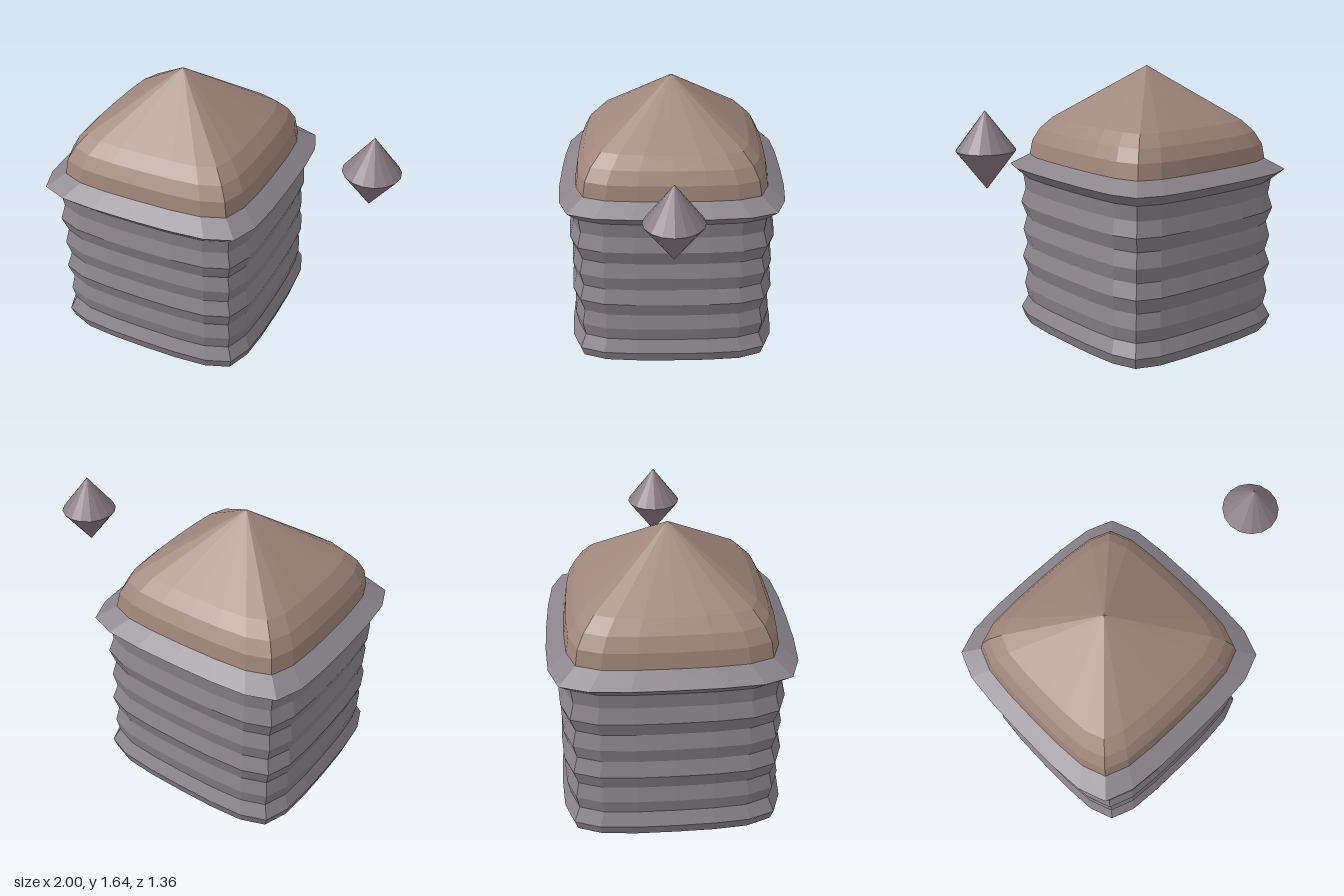
import * as THREE from 'three';

// One quarter of the rounded-square plan, for a half-width of 1
const QUARTER = [[0, 1], [0.35, 0.995], [0.66, 0.97], [0.885, 0.885], [0.97, 0.66], [0.995, 0.35]];
const SIDES = QUARTER.length * 4;

// Corner i of the plan, turning from +z towards +x
function planPoint(i) {
  let [x, z] = QUARTER[i % QUARTER.length];
  const turns = Math.floor((i % SIDES) / QUARTER.length);
  for (let t = 0; t < turns; t++) [x, z] = [z, -x];
  return [x, z];
}

// Lathe whose round plan is pushed out to the rounded square
function squareLathe(profile) {
  const geo = new THREE.LatheGeometry(profile.map(([r, y]) => new THREE.Vector2(r, y)), SIDES);
  const pos = geo.attributes.position;
  for (let i = 0; i <= SIDES; i++) {
    const [x, z] = planPoint(i);
    profile.forEach(([r, y], j) => pos.setXYZ(i * profile.length + j, x * r, y, z * r));
  }
  geo.computeVertexNormals();
  return geo;
}

function part(name, geometry, color) {
  const material = new THREE.MeshStandardMaterial({ color, flatShading: true, side: THREE.DoubleSide });
  const mesh = new THREE.Mesh(geometry, material);
  mesh.name = name;
  return mesh;
}

export function createModel() {
  const model = new THREE.Group();
  model.name = 'ridgedHut';

  const hut = new THREE.Group();
  hut.name = 'hut';
  hut.position.x = -0.32;
  model.add(hut);

  // Ridged walls, open underneath
  const walls = [
    [0.618, 0], [0.638, 0.065], [0.602, 0.145], [0.618, 0.23], [0.6, 0.32], [0.626, 0.41],
    [0.6, 0.5], [0.62, 0.59], [0.6, 0.68], [0.628, 0.77], [0.604, 0.86], [0.615, 0.95],
  ];
  hut.add(part('walls', squareLathe(walls), 0x8a848a));

  // Flared eave between walls and roof
  hut.add(part('eave', squareLathe([[0.615, 0.95], [0.68, 1.015], [0.58, 1.08]]), 0x8a848a));

  // Domed roof rising to a point
  const roof = [[0.58, 1.08], [0.565, 1.17], [0.525, 1.245], [0.46, 1.315], [0, 1.637]];
  hut.add(part('roof', squareLathe(roof), 0xa0867c));

  // Floating double cone beside the hut
  const gem = [[0, -0.215], [0.164, 0], [0, 0.215]].map(([r, y]) => new THREE.Vector2(r, y));
  const marker = part('floatingMarker', new THREE.LatheGeometry(gem, 16), 0x8a7c84);
  marker.position.set(0.833, 1.255, 0);
  model.add(marker);

  return model;
}
